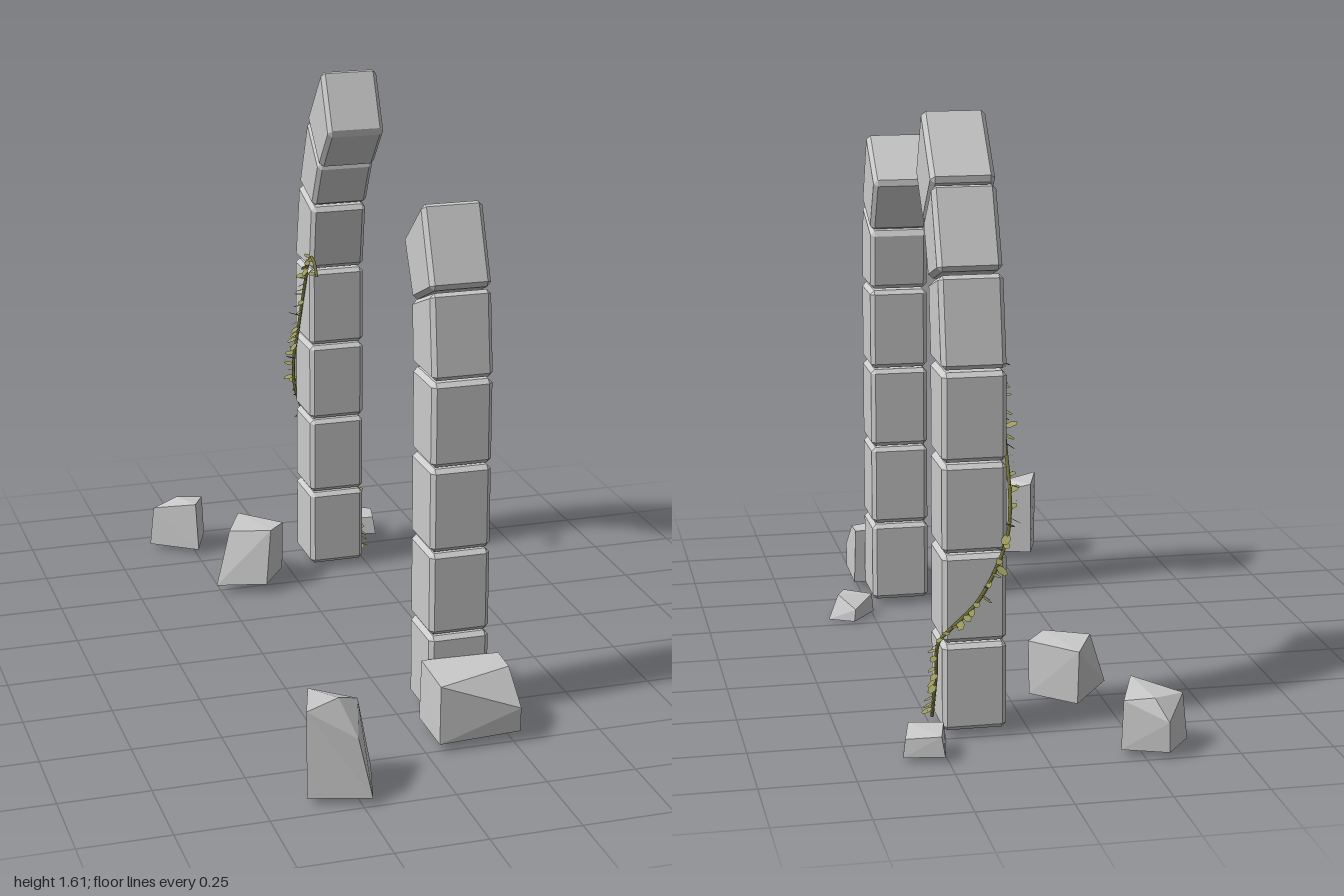
import * as THREE from 'three';
import { ConvexGeometry } from 'three/addons/geometries/ConvexGeometry.js';

const stone = new THREE.MeshStandardMaterial({ color: 0xcccccc, flatShading: true });
const stemMat = new THREE.MeshStandardMaterial({ color: 0x7d7a3c });
const leafMat = new THREE.MeshStandardMaterial({ color: 0x9a9a5c, side: THREE.DoubleSide });

const X0 = 0.065, X1 = 0.235, BEVEL = 0.012;

// Bevelled stone block: a four-cornered [z, y] side section, spanning X0 to X1
function block(section, name) {
  const pts = [];
  for (const [x, dir] of [[X0, 1], [X1, -1]]) {
    section.forEach(([z, y], i) => {
      const c = new THREE.Vector3(x, y, z);
      const toward = (j) => {
        const [nz, ny] = section[j % 4];
        return new THREE.Vector3(0, ny - y, nz - z).normalize().multiplyScalar(BEVEL);
      };
      const a = toward(i + 1), b = toward(i + 3), d = new THREE.Vector3(dir * BEVEL, 0, 0);
      pts.push(c.clone().add(a).add(b), c.clone().add(a).add(d), c.clone().add(b).add(d));
    });
  }
  const mesh = new THREE.Mesh(new ConvexGeometry(pts), stone);
  mesh.name = name;
  return mesh;
}

// Pillar: four upright blocks, then the tilted blocks of the broken arch
function pillar(name, zInner, zOuter, tilted) {
  const g = new THREE.Group();
  g.name = name;
  for (let i = 0; i < 4; i++) {
    const y = 0.02 + i * 0.241, t = y + 0.236;
    g.add(block([[zInner, y], [zOuter, y], [zOuter, t], [zInner, t]], 'pillarBlock'));
  }
  tilted.forEach((s) => g.add(block(s, 'archBlock')));
  return g;
}

// Fallen rock: convex hull of a few [x, y, z] corners
function rock(name, corners) {
  const mesh = new THREE.Mesh(new ConvexGeometry(corners.map((p) => new THREE.Vector3(...p))), stone);
  mesh.name = name;
  return mesh;
}

// Vine winding round the back pillar, with small flat leaves
function vine() {
  const g = new THREE.Group();
  g.name = 'vine';
  const curve = new THREE.CatmullRomCurve3([
    [0.242, 0.02, -0.625], [0.243, 0.15, -0.69], [0.245, 0.27, -0.75],
    [0.22, 0.3, -0.757], [0.14, 0.38, -0.757], [0.07, 0.53, -0.757],
    [0.057, 0.62, -0.745], [0.057, 0.78, -0.68], [0.057, 0.96, -0.595],
    [0.055, 1.0, -0.57], [0.052, 1.04, -0.52], [0.05, 1.03, -0.48], [0.05, 0.995, -0.455],
  ].map((p) => new THREE.Vector3(...p)));
  const stem = new THREE.Mesh(new THREE.TubeGeometry(curve, 90, 0.005, 5), stemMat);
  stem.name = 'vineStem';
  g.add(stem);

  let seed = 7;
  const rnd = () => (seed = (seed * 16807) % 2147483647) / 2147483647;
  const leafGeo = new THREE.CircleGeometry(0.014, 6);
  leafGeo.rotateX(-Math.PI / 2);
  leafGeo.scale(0.8, 1, 1.2);
  leafGeo.translate(0, 0, 0.016);
  const count = 58;
  for (let i = 0; i < count; i++) {
    const p = curve.getPointAt((i + 0.5) / count);
    // Leaves point away from the stone face the stem runs along
    let face = -Math.PI / 2;
    if (p.x > 0.237) face = Math.PI / 2;
    else if (p.z < -0.75) face = Math.PI;
    const leaf = new THREE.Mesh(leafGeo, leafMat);
    leaf.name = 'leaf';
    leaf.position.copy(p);
    leaf.rotation.set((rnd() - 0.4) * 1.3, face + (rnd() - 0.5) * 2, (rnd() - 0.5) * 0.8, 'YXZ');
    leaf.scale.setScalar(0.7 + rnd() * 0.5);
    g.add(leaf);
  }
  return g;
}

export function createModel() {
  const model = new THREE.Group();
  model.name = 'ruinedArch';

  model.add(pillar('frontPillar', 0.41, 0.585, [
    [[0.408, 0.985], [0.587, 0.985], [0.56, 1.222], [0.396, 1.157]],
    [[0.405, 1.16], [0.563, 1.23], [0.476, 1.445], [0.326, 1.314]],
  ]));
  model.add(pillar('backPillar', -0.575, -0.75, [
    [[-0.577, 0.985], [-0.748, 0.985], [-0.702, 1.225], [-0.55, 1.18]],
    [[-0.55, 1.187], [-0.697, 1.233], [-0.605, 1.446], [-0.481, 1.325]],
    [[-0.476, 1.32], [-0.604, 1.452], [-0.455, 1.622], [-0.374, 1.444]],
  ]));
  model.add(vine());

  model.add(rock('rockAtFrontPillar', [
    [0.035, 0.025, 0.587], [0.267, 0.025, 0.587], [0.267, 0.03, 0.755], [0.035, 0.025, 0.762],
    [0.04, 0.195, 0.587], [0.262, 0.19, 0.587], [0.262, 0.185, 0.67],
    [0.18, 0.188, 0.68], [0.04, 0.188, 0.752], [0.267, 0.1, 0.76],
  ]));
  model.add(rock('rockFrontLarge', [
    [-0.34, 0.03, 0.785], [-0.18, 0.03, 0.83], [-0.225, 0.02, 0.995], [-0.387, 0.02, 0.945],
    [-0.34, 0.255, 0.792], [-0.215, 0.225, 0.825], [-0.25, 0.17, 0.95], [-0.385, 0.258, 0.935],
    [-0.28, 0.255, 0.87],
  ]));
  model.add(rock('rockFrontSmall', [
    [0.245, 0.005, 0.35], [0.315, 0, 0.272], [0.387, 0, 0.31], [0.34, 0.005, 0.405],
    [0.25, 0.06, 0.35], [0.31, 0.035, 0.278], [0.355, 0.068, 0.335], [0.33, 0.066, 0.39],
  ]));
  model.add(rock('rockBackMiddle', [
    [-0.15, 0.035, -0.65], [-0.04, 0.035, -0.545], [-0.12, 0.03, -0.435], [-0.27, 0.03, -0.47],
    [-0.15, 0.185, -0.665], [-0.037, 0.185, -0.545], [-0.095, 0.19, -0.475], [-0.215, 0.185, -0.52],
  ]));
  model.add(rock('rockBackFar', [
    [-0.31, 0.016, -1.0], [-0.192, 0.016, -0.955], [-0.245, 0.016, -0.808], [-0.382, 0.016, -0.905],
    [-0.308, 0.096, -0.998], [-0.2, 0.145, -0.945], [-0.25, 0.167, -0.82], [-0.37, 0.14, -0.9],
    [-0.28, 0.15, -0.955],
  ]));
  model.add(rock('rockBackSmall', [
    [0.26, 0.015, -0.917], [0.367, 0.015, -0.9], [0.342, 0.015, -0.782], [0.237, 0.015, -0.805],
    [0.268, 0.068, -0.91], [0.36, 0.062, -0.893], [0.335, 0.07, -0.79], [0.245, 0.07, -0.81],
  ]));

  return model;
}
